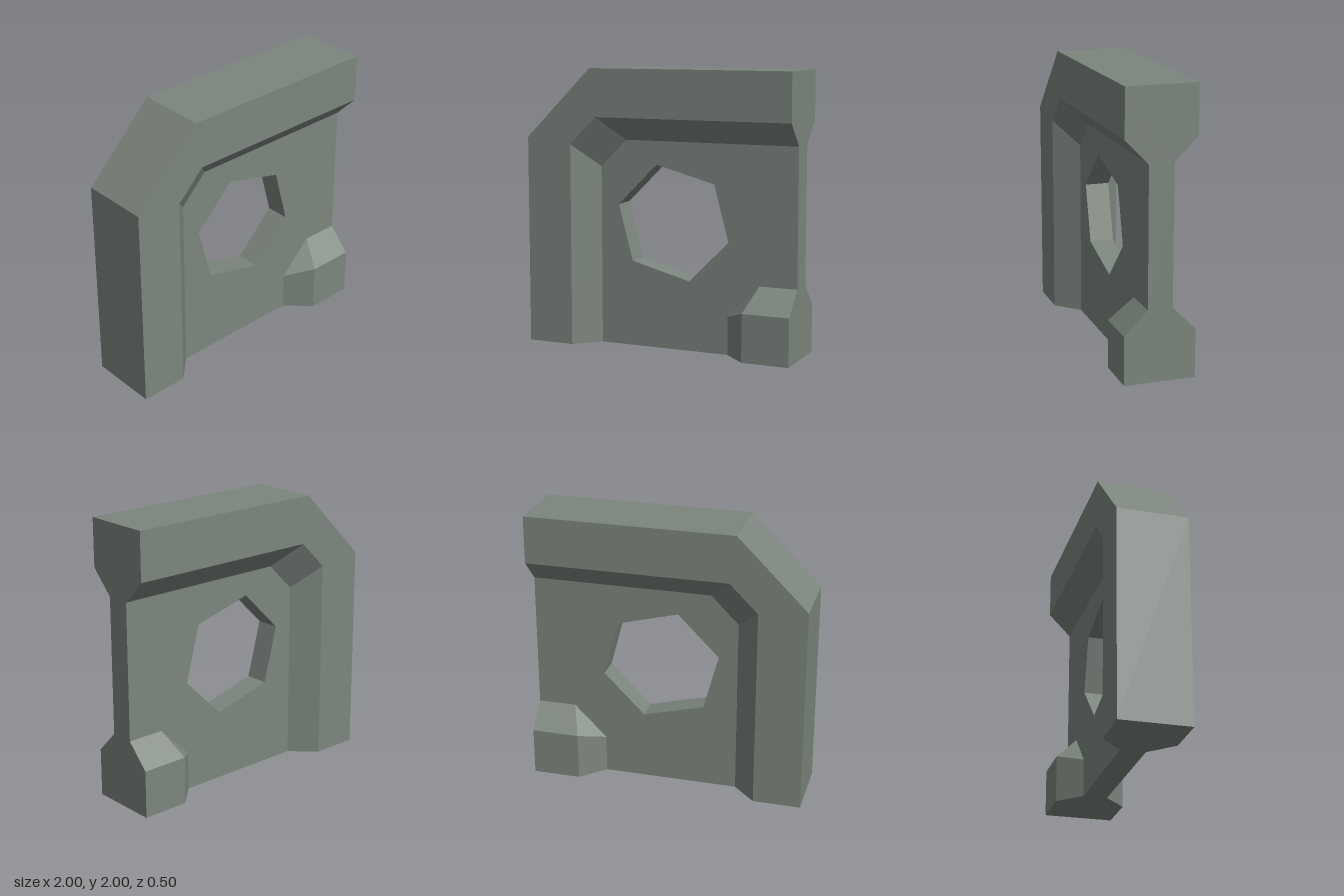
import * as THREE from 'three';

const HALF = 0.25;  // half thickness of frame and corner block
const WEB = 0.087;  // half thickness of the thin panel

// Skins a row of stations [outer, rim, foot] (xy points), mirrored in z, and caps both ends
function bevelledSolid(stations) {
  const rings = stations.map(([o, i, w]) => [
    [o, HALF], [i, HALF], [w, WEB], [w, -WEB], [i, -HALF], [o, -HALF],
  ].map(([p, z]) => new THREE.Vector3(p[0], p[1], z)));
  const pos = [];
  const tri = (a, b, c) => {
    if (new THREE.Triangle(a, b, c).getArea() < 1e-6) return;
    for (const v of [a, b, c]) pos.push(v.x, v.y, v.z);
  };
  for (let s = 0; s < rings.length - 1; s++) {
    const a = rings[s], b = rings[s + 1];
    for (let k = 0; k < 6; k++) {
      if (k === 2) continue; // joins the panel here
      const n = (k + 1) % 6;
      tri(a[k], a[n], b[n]);
      tri(a[k], b[n], b[k]);
    }
  }
  const first = rings[0], last = rings[rings.length - 1];
  for (let k = 1; k < 5; k++) {
    tri(first[0], first[k + 1], first[k]);
    tri(last[0], last[k], last[k + 1]);
  }
  const geo = new THREE.BufferGeometry();
  geo.setAttribute('position', new THREE.Float32BufferAttribute(pos, 3));
  geo.computeVertexNormals();
  return geo;
}

const points = (list) => list.map(([x, y]) => new THREE.Vector2(x, y));

export function createModel() {
  const group = new THREE.Group();
  group.name = 'wallPanel';
  const material = new THREE.MeshStandardMaterial({ color: 0x7b857d });
  material.name = 'greyGreen';
  const add = (name, geo) => {
    const mesh = new THREE.Mesh(geo, material);
    mesh.name = name;
    group.add(mesh);
  };

  // Thick frame along the left edge, chamfered corner and top
  const frame = [
    [[-1, 0], [-0.657, 0], [-0.49, 0]],
    [[-1, 1.5], [-0.657, 1.457], [-0.49, 1.293]],
    [[-0.5, 2], [-0.457, 1.657], [-0.293, 1.49]],
    [[1, 2], [1, 1.657], [1, 1.49]],
  ];
  add('frame', bevelledSolid(frame));

  // Bevelled block in the lower corner
  const block = [
    [[1, 0], [1, 0.343], [1, 0.51]],
    [[1, 0], [0.657, 0.343], [0.725, 0.51]],
    [[1, 0], [0.657, 0.343], [0.49, 0.275]],
    [[1, 0], [0.657, 0], [0.49, 0]],
  ];
  add('cornerBlock', bevelledSolid(block));

  // Thin panel between them, with a six-sided hole wound against the outline
  const shape = new THREE.Shape(points([...frame, ...block].map((s) => s[2])));
  shape.holes.push(new THREE.Path(points([
    [-0.353, 1.025], [-0.245, 0.62], [0.197, 0.503], [0.493, 0.8], [0.385, 1.203], [-0.057, 1.322],
  ])));
  const panel = new THREE.ExtrudeGeometry(shape, { depth: WEB * 2, bevelEnabled: false });
  panel.translate(0, 0, -WEB);
  add('panel', panel);

  return group;
}
